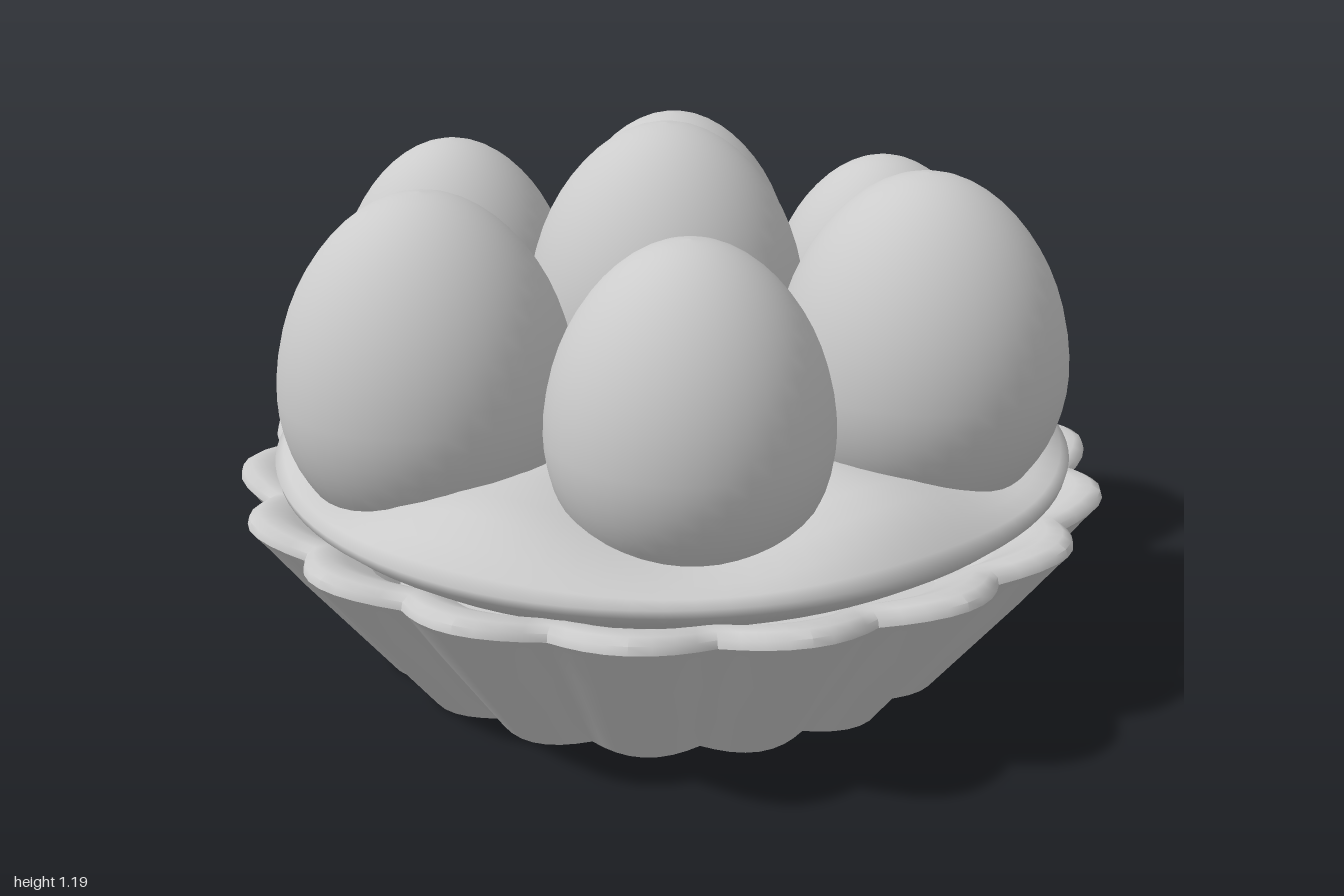
import * as THREE from 'three';
import { toCreasedNormals } from 'three/addons/utils/BufferGeometryUtils.js';

const material = new THREE.MeshStandardMaterial({ color: 0xcccccc, side: THREE.DoubleSide });
const FLUTES = 18;

// Revolve a profile, then move every vertex by rule(radius, y, angle) -> [radius, y].
// The angle runs from +z towards +x.
function shapedLathe(profile, segments, crease, rule) {
  const points = profile.map(([r, y]) => new THREE.Vector2(r, y));
  const geometry = new THREE.LatheGeometry(points, segments);
  const pos = geometry.attributes.position;
  for (let i = 0; i < pos.count; i++) {
    const x = pos.getX(i), z = pos.getZ(i);
    const angle = Math.atan2(x, z);
    const [r, y] = rule(Math.hypot(x, z), pos.getY(i), angle);
    pos.setXYZ(i, r * Math.sin(angle), y, r * Math.cos(angle));
  }
  return toCreasedNormals(geometry, crease);
}

function addMesh(group, name, geometry) {
  const mesh = new THREE.Mesh(geometry, material);
  mesh.name = name;
  group.add(mesh);
  return mesh;
}

// Fluted pastry case with a rounded, scalloped lip
function crustGeometry() {
  const profile = [
    [0, 0], [0.35, 0], [0.7, 0], [0.8, 0.13], [0.9, 0.26], [0.98, 0.37],
    [1, 0.395], [0.995, 0.412], [0.975, 0.422], [0.94, 0.42], [0.9, 0.4], [0.84, 0.36],
  ];
  return shapedLathe(profile, FLUTES * 8, 0.85, (r, y, a) => {
    const valley = 1 - Math.abs(Math.cos(a * FLUTES / 2));
    return [r * (1 - 0.065 * valley), y - 0.05 * valley * y];
  });
}

// Soft filling: swells between the eggs and dips beneath them
function fillingGeometry() {
  const profile = [
    [0.82, 0.37], [0.88, 0.41], [0.915, 0.44], [0.92, 0.46], [0.9, 0.478], [0.86, 0.5],
    [0.8, 0.525], [0.72, 0.535], [0.6, 0.535], [0.45, 0.535], [0.3, 0.535], [0.15, 0.535], [0, 0.535],
  ];
  return shapedLathe(profile, 96, Math.PI, (r, y, a) => {
    const swell = -Math.cos(6 * (a - 1.18)) * 0.033;
    const inner = Math.min(1, r / 0.6);
    const top = THREE.MathUtils.smoothstep(y, 0.46, 0.53);
    const wobble = 1 + 0.012 * Math.cos(3 * a + 0.4) + 0.014 * Math.cos(a);
    return [r * wobble, y + swell * inner * top];
  });
}

// Unit egg: widest at y = 0, round below, taller and slimmer above
function eggGeometry() {
  const points = [];
  const steps = 28;
  for (let i = 0; i <= steps; i++) {
    const t = -Math.PI / 2 + Math.PI * i / steps;
    const s = Math.sin(t);
    const r = Math.max(0, Math.cos(t)) * (s > 0 ? 1 - 0.07 * s * s : 1);
    points.push(new THREE.Vector2(r, s > 0 ? 1.35 * s : 1.05 * s));
  }
  return new THREE.LatheGeometry(points, 40);
}

export function createModel() {
  const model = new THREE.Group();
  model.name = 'eggTart';

  addMesh(model, 'crust', crustGeometry());
  addMesh(model, 'filling', fillingGeometry());

  // Eggs: x, z, radius, height of the tip
  const eggs = [
    ['centreEgg', -0.01, -0.025, 0.32, 1.19],
    ['backEgg', -0.04, -0.63, 0.31, 1.1],
    ['backLeftEgg', 0.493, -0.37, 0.275, 1.05],
    ['leftEgg', 0.563, 0.197, 0.32, 1.135],
    ['frontEgg', 0.085, 0.58, 0.295, 1.08],
    ['frontRightEgg', -0.495, 0.352, 0.32, 1.11],
    ['backRightEgg', -0.547, -0.242, 0.283, 1.1],
  ];
  const egg = eggGeometry();
  for (const [name, x, z, radius, tip] of eggs) {
    const mesh = addMesh(model, name, egg);
    mesh.scale.setScalar(radius);
    mesh.position.set(x, tip - 1.35 * radius, z);
  }
  return model;
}
